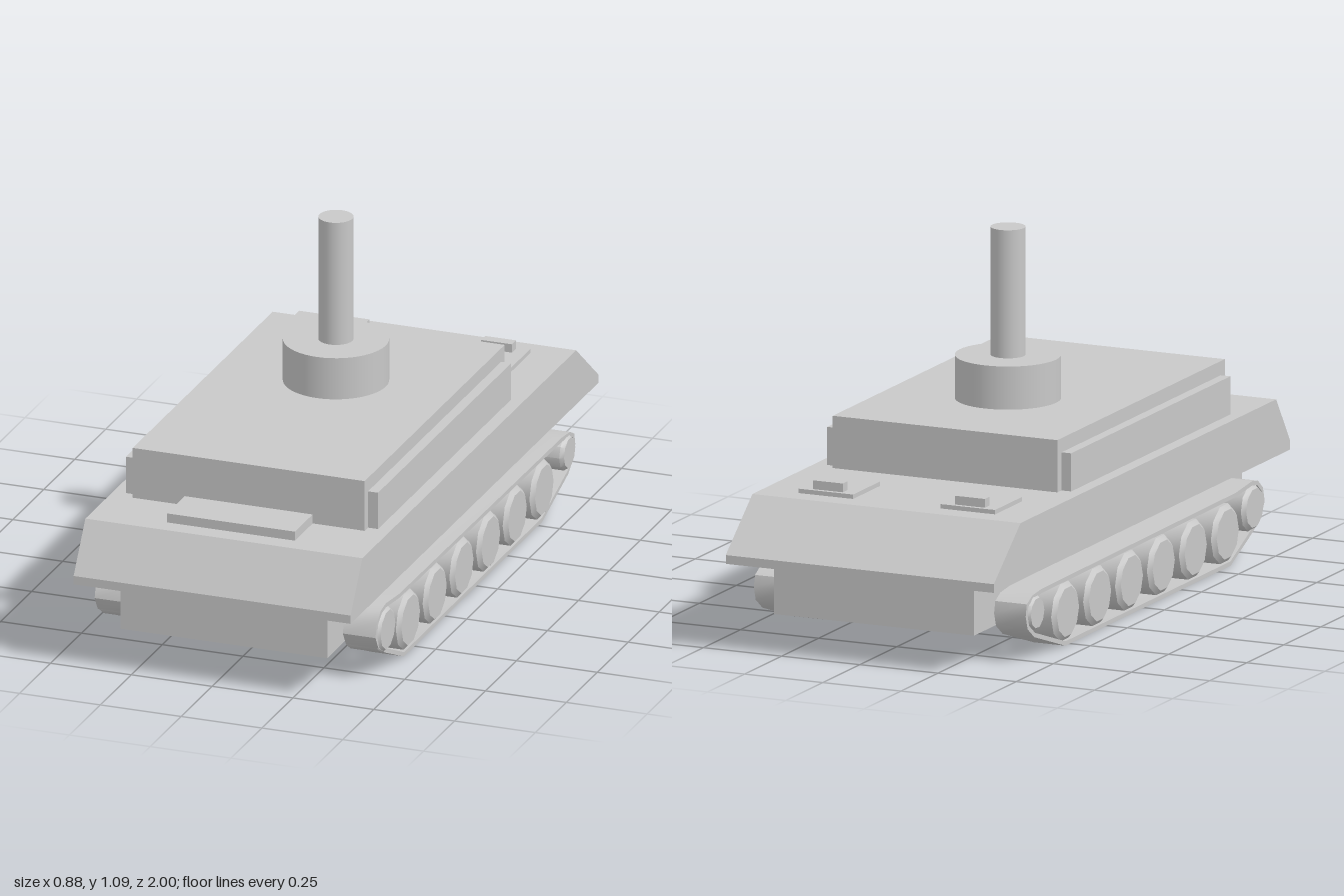
import * as THREE from 'three';
import { toCreasedNormals } from 'three/addons/utils/BufferGeometryUtils.js';

const V = (x, y) => new THREE.Vector2(x, y);

export function createModel() {
  const model = new THREE.Group();
  model.name = 'trackedVehicle';
  const grey = new THREE.MeshStandardMaterial({ color: 0xc8c8c8 });
  grey.name = 'plain grey';

  const add = (name, geometry, parent = model) => {
    const mesh = new THREE.Mesh(geometry, grey);
    mesh.name = name;
    parent.add(mesh);
    return mesh;
  };
  // Box given by its limits on each axis
  const box = (name, x0, x1, y0, y1, z0, z1) =>
    add(name, new THREE.BoxGeometry(x1 - x0, y1 - y0, z1 - z0)
      .translate((x0 + x1) / 2, (y0 + y1) / 2, (z0 + z1) / 2));
  // Side profile drawn in (z, y), extruded across x and centred
  const sideExtrude = (shape, width) =>
    new THREE.ExtrudeGeometry(shape, { depth: width, bevelEnabled: false })
      .translate(0, 0, -width / 2).rotateY(-Math.PI / 2);

  // Hull
  box('lowerHull', -0.32, 0.32, 0.1, 0.26, -0.905, 0.905);
  add('upperHull', sideExtrude(new THREE.Shape([
    V(-1, 0.258), V(1, 0.258), V(1, 0.284), V(0.905, 0.427), V(-0.82, 0.427), V(-1, 0.284),
  ]), 0.857));

  // Superstructure
  box('superstructure', -0.359, 0.359, 0.42, 0.582, -0.425, 0.705);
  for (const s of [-1, 1]) {
    const a = s * 0.35, b = s * 0.39;
    box('sidePanel', Math.min(a, b), Math.max(a, b), 0.42, 0.54, -0.397, 0.678);
  }
  box('frontPlate', -0.198, 0.198, 0.42, 0.455, 0.7, 0.848);

  // Rear hatches with handles
  for (const x of [-0.228, 0.226]) {
    box('rearHatch', x - 0.087, x + 0.087, 0.42, 0.44, -0.752, -0.571);
    box('hatchHandle', x - 0.048, x + 0.048, 0.435, 0.466, -0.739, -0.706);
  }

  // Upright mast on its round base
  add('mastBase', new THREE.CylinderGeometry(0.154, 0.154, 0.135, 48).translate(0, 0.6425, 0));
  add('mast', new THREE.CylinderGeometry(0.051, 0.051, 0.385, 32).translate(0, 0.8975, 0));

  // Track belt: outer loop and the same loop moved inward
  const outer = [
    [0.585, 0.002], [0.735, 0.07], [0.79, 0.103], [0.815, 0.145], [0.803, 0.188],
    [0.77, 0.215], [0.73, 0.222], [0.62, 0.211], [-0.69, 0.205], [-0.755, 0.198],
    [-0.79, 0.18], [-0.798, 0.145], [-0.785, 0.105], [-0.74, 0.072], [-0.53, 0.002],
  ].map(([z, y]) => V(z, y));
  const inner = outer.map((p, i) => {
    const prev = outer.at(i - 1), next = outer[(i + 1) % outer.length];
    const t = next.clone().sub(prev).normalize();
    return V(p.x - t.y * 0.013, p.y + t.x * 0.013);
  });
  const beltShape = new THREE.Shape(outer);
  beltShape.holes.push(new THREE.Path(inner));
  const belt = toCreasedNormals(sideExtrude(beltShape, 0.101), 0.8);

  // Wheel with a slightly raised outer face, axle along +x
  const wheel = (r) => toCreasedNormals(new THREE.LatheGeometry([
    V(0, -0.05), V(r, -0.05), V(r, 0.046), V(r * 0.84, 0.058), V(0, 0.058),
  ], 10).rotateZ(-Math.PI / 2), 0.7);
  const wheels = [
    ['idlerWheel', 0.733, 0.143, 0.07],
    ...[0.55, 0.334, 0.118, -0.097, -0.312, -0.528].map((z) => ['roadWheel', z, 0.104, 0.089]),
    ['driveWheel', -0.733, 0.143, 0.054],
  ];

  for (const s of [-1, 1]) {
    const track = new THREE.Group();
    track.name = s > 0 ? 'leftTrack' : 'rightTrack';
    track.position.x = s * 0.384;
    add('trackBelt', belt, track);
    for (const [name, z, y, r] of wheels) {
      const mesh = add(name, wheel(r), track);
      mesh.position.set(0, y, z);
      if (s < 0) mesh.rotation.z = Math.PI;
    }
    model.add(track);
  }
  return model;
}
